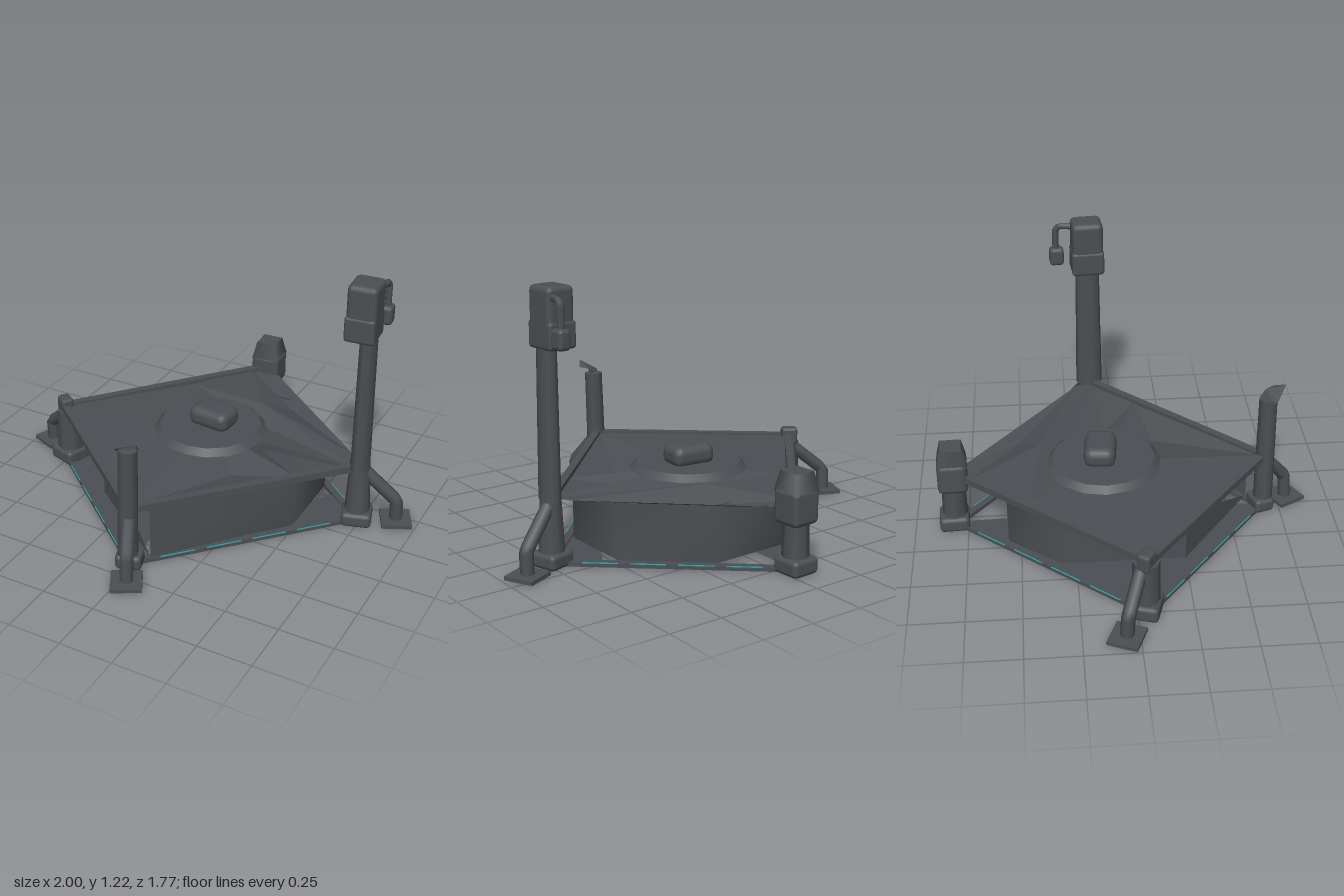
import * as THREE from 'three';
import { RoundedBoxGeometry } from 'three/addons/geometries/RoundedBoxGeometry.js';

const slate = new THREE.MeshStandardMaterial({ color: 0x4b4f53, side: THREE.DoubleSide });
slate.name = 'slate metal';
const cyan = new THREE.MeshStandardMaterial({ color: 0x2fa8a8 });
cyan.name = 'cyan strip';

const V = (x, y, z) => new THREE.Vector3(x, y, z);

export function createModel() {
  const model = new THREE.Group();
  model.name = 'platform';

  const add = (name, geo, pos = [0, 0, 0], rotY = 0, mat = slate) => {
    const m = new THREE.Mesh(geo, mat);
    m.name = name;
    m.position.set(...pos);
    m.rotation.y = rotY;
    model.add(m);
    return m;
  };
  const box = (name, size, pos, rotY = 0, mat = slate) =>
    add(name, new THREE.BoxGeometry(...size), pos, rotY, mat);
  const rounded = (name, size, r, pos, rotY = 0) =>
    add(name, new RoundedBoxGeometry(...size, 2, r), pos, rotY);
  const post = (name, rTop, rBottom, y0, y1, x, z, sides = 8, rotY = 0) =>
    add(name, new THREE.CylinderGeometry(rTop, rBottom, y1 - y0, sides), [x, (y0 + y1) / 2, z], rotY);
  // faceted sheet from points and triangles
  const sheet = (name, pts, tris) => {
    const geo = new THREE.BufferGeometry().setFromPoints(tris.flat().map(i => V(...pts[i])));
    geo.computeVertexNormals();
    return add(name, geo);
  };
  // pipe with straight runs
  const pipe = (name, pts, r) => {
    const path = new THREE.CurvePath();
    for (let i = 1; i < pts.length; i++) path.add(new THREE.LineCurve3(V(...pts[i - 1]), V(...pts[i])));
    return add(name, new THREE.TubeGeometry(path, 14, r, 8));
  };

  const west = [-0.76, 0.045], south = [-0.02, 0.66], east = [0.73, -0.13], north = [-0.05, -0.8];
  const corners = [west, south, east, north];

  // edge rails, upper and lower, with a thin broken light strip on the lower ones
  corners.forEach((a, i) => {
    const b = corners[(i + 1) % 4];
    const dx = b[0] - a[0], dz = b[1] - a[1], len = Math.hypot(dx, dz);
    const rot = Math.atan2(-dz, dx);
    const at = (t, y, out = 0) => [a[0] + dx * t - dz / len * out, y, a[1] + dz * t + dx / len * out];
    box('lowerRail', [len, 0.02, 0.035], at(0.5, 0.012), rot);
    for (const t of [0.2, 0.4, 0.6, 0.8])
      box('lightStrip', [len * 0.15, 0.004, 0.004], at(t, 0.0205, 0.0165), rot, cyan);
    if (i !== 2) box('upperRail', [len, 0.032, 0.035], at(0.5, 0.296), rot);
  });

  // partial floor: one large half and a sliver along the front left rail
  sheet('floor', [
    [-0.75, 0.015, 0.04], [-0.02, 0.015, 0.66], [-0.05, 0.015, -0.8],
    [0.73, 0.015, -0.13], [0.57, 0.015, -0.27],
  ], [[0, 1, 2], [1, 3, 4]]);

  // dented deck with a folded rear sheet
  sheet('deck', [
    [-0.02, 0.31, -0.1], [-0.3, 0.3, -0.45], [-0.75, 0.3, 0.05], [-0.02, 0.3, 0.64],
    [0.22, 0.25, 0.15], [0.52, 0.295, 0.09], [0.26, 0.26, -0.1], [0.72, 0.295, -0.1],
    [0.2, 0.275, -0.27], [0.12, 0.32, -0.4], [-0.12, 0.29, -0.75], [0.03, 0.29, -0.75],
    [0.68, 0.3, -0.2], [0.22, 0.265, -0.5],
  ], [
    [0, 1, 2], [0, 2, 3], [0, 3, 4], [0, 4, 5], [0, 5, 6], [0, 6, 7], [0, 7, 8], [0, 8, 1],
    [3, 5, 4], [5, 7, 6], [7, 9, 8], [8, 9, 1], [7, 12, 9],
    [1, 9, 10], [9, 13, 10], [10, 13, 11], [9, 12, 13], [13, 12, 11],
  ]);

  // smooth inner skirt running close to the rails, open on the front right side
  const foot = [[-0.41, 0.25], [-0.41, -0.32], [-0.22, -0.56], [0.19, -0.57], [0.5, -0.3], [0.5, 0.07], [0.05, 0.6]];
  const skirt = new THREE.BufferGeometry().setFromPoints(
    foot.flatMap(([x, z]) => [V(x, 0.018, z), V(x, 0.28, z)]));
  skirt.setIndex(foot.slice(1).flatMap((_, i) => [0, 1, 2, 1, 3, 2].map(k => k + i * 2)));
  skirt.computeVertexNormals();
  add('innerSkirt', skirt);
  sheet('skirtFlap', [[-0.41, 0.018, 0.25], [0.05, 0.018, 0.6], [-0.41, 0.28, 0.25]], [[0, 1, 2]]);

  // central dish and hub
  post('dish', 0.24, 0.27, 0.305, 0.335, -0.02, -0.1, 16);
  rounded('hub', [0.21, 0.1, 0.15], 0.04, [-0.01, 0.37, -0.115], -0.1);

  // right post
  rounded('rightPostBase', [0.15, 0.075, 0.13], 0.02, [-0.745, 0.038, 0.04], -0.3);
  post('rightPost', 0.06, 0.065, 0.06, 0.28, -0.74, 0.035);
  rounded('rightPostCap', [0.08, 0.09, 0.06], 0.015, [-0.76, 0.298, 0.035], -0.6);

  // front post with a bent broken tip
  rounded('frontPostBase', [0.12, 0.07, 0.1], 0.02, [-0.02, 0.035, 0.66], 0.3);
  post('frontPost', 0.043, 0.047, 0.03, 0.61, -0.015, 0.67).rotation.z = -0.03;
  sheet('frontPostTip', [
    [-0.05, 0.6, 0.69], [0.03, 0.6, 0.64], [0.03, 0.635, 0.66], [-0.05, 0.62, 0.71],
    [0.02, 0.665, 0.755], [0.055, 0.64, 0.7],
  ], [[0, 1, 2], [0, 2, 3], [3, 2, 4], [2, 5, 4]]);

  // left mast, flattened sideways, with head and hanging lamp
  rounded('mastBase', [0.14, 0.07, 0.14], 0.02, [0.735, 0.035, -0.13], 0.3);
  post('mastSocket', 0.045, 0.06, 0.05, 0.34, 0.735, -0.13, 10);
  post('mast', 0.058, 0.066, 0.3, 0.97, 0.737, -0.128, 10).scale.x = 0.64;
  rounded('mastHead', [0.135, 0.25, 0.15], 0.025, [0.71, 1.09, -0.13], 0.08);
  rounded('mastHeadCollar', [0.138, 0.12, 0.158], 0.015, [0.708, 1.01, -0.13], 0.08);
  pipe('lampArm', [[0.745, 1.17, -0.19], [0.755, 1.17, -0.26], [0.757, 1.15, -0.28], [0.757, 1.04, -0.28]], 0.016);
  rounded('lamp', [0.06, 0.09, 0.07], 0.018, [0.757, 1.012, -0.277], 0.1);

  // rear tower
  rounded('rearPostBase', [0.14, 0.075, 0.14], 0.02, [-0.05, 0.038, -0.815], 0.05);
  post('rearPost', 0.055, 0.06, 0.06, 0.26, -0.05, -0.81);
  rounded('rearHead', [0.145, 0.16, 0.14], 0.025, [-0.05, 0.3, -0.81], 0.05);
  post('rearHeadTop', 0.07, 0.097, 0.36, 0.45, -0.05, -0.81, 4, Math.PI / 4 + 0.05);

  // outrigger legs with square feet
  const legs = [
    { name: 'right', a: [-0.74, 0.27, 0.02], k: [-0.91, 0.12, -0.055], f: [-0.91, -0.06], r: -0.4 },
    { name: 'front', a: [-0.01, 0.28, 0.67], k: [0.04, 0.14, 0.78], f: [0.04, 0.79], r: 0.5 },
    { name: 'left', a: [0.75, 0.28, -0.14], k: [0.9, 0.12, -0.2], f: [0.9, -0.205], r: 0.45 },
  ];
  for (const { name, a, k, f, r } of legs) {
    pipe(name + 'Leg', [a, k, [f[0], 0.02, f[1]]], 0.031);
    box(name + 'Foot', [0.14, 0.018, 0.14], [f[0], 0.015, f[1]], r);
  }

  return model;
}
